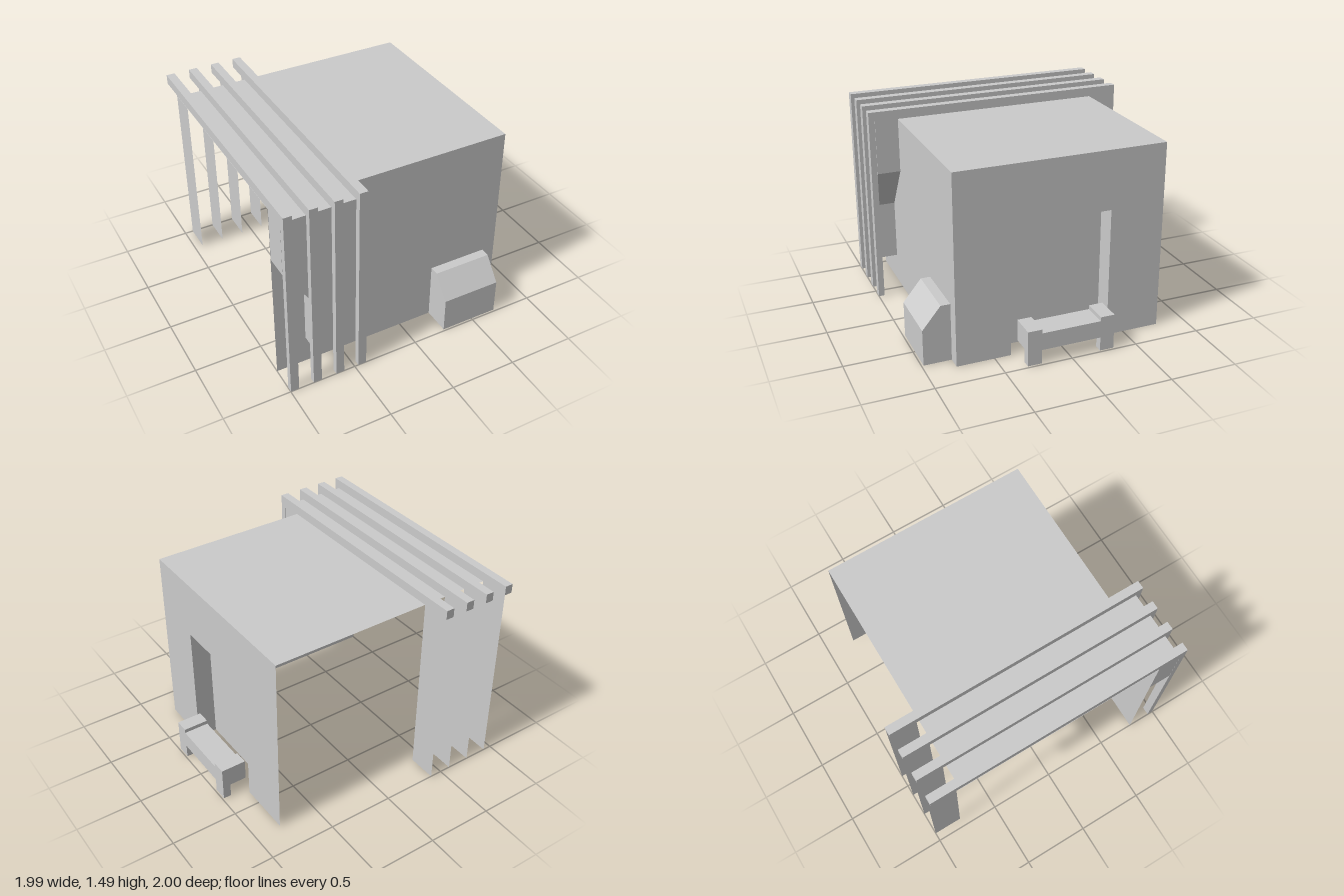
import * as THREE from 'three';

const material = new THREE.MeshStandardMaterial({ color: 0xcccccc, flatShading: true });
const sheetMaterial = new THREE.MeshStandardMaterial({ color: 0xcccccc, flatShading: true, side: THREE.DoubleSide });

function outline(points) {
  return new THREE.Shape(points.map(([a, b]) => new THREE.Vector2(a, b)));
}

// Solid block from its minimum and maximum corners
function block(name, [x0, y0, z0], [x1, y1, z1]) {
  const mesh = new THREE.Mesh(new THREE.BoxGeometry(x1 - x0, y1 - y0, z1 - z0), material);
  mesh.position.set((x0 + x1) / 2, (y0 + y1) / 2, (z0 + z1) / 2);
  mesh.name = name;
  return mesh;
}

// Flat sheet in the x-y plane
function frontSheet(name, points, z) {
  const mesh = new THREE.Mesh(new THREE.ShapeGeometry(outline(points)), sheetMaterial);
  mesh.position.z = z;
  mesh.name = name;
  return mesh;
}

// Flat sheet in the z-y plane, points given as [z, y]
function sideSheet(name, points, x) {
  const geometry = new THREE.ShapeGeometry(outline(points.map(([z, y]) => [-z, y])));
  const mesh = new THREE.Mesh(geometry.rotateY(Math.PI / 2), sheetMaterial);
  mesh.position.x = x;
  mesh.name = name;
  return mesh;
}

function rect(a0, b0, a1, b1) {
  return [[a0, b0], [a1, b0], [a1, b1], [a0, b1]];
}

// Solid prism along z from an x-y profile
function prism(name, points, z0, z1) {
  const geometry = new THREE.ExtrudeGeometry(outline(points), { depth: z1 - z0, bevelEnabled: false });
  const mesh = new THREE.Mesh(geometry, material);
  mesh.position.z = z0;
  mesh.name = name;
  return mesh;
}

// Open band along x through a [z, y] polyline
function band(name, points, x0, x1) {
  const positions = [], index = [];
  points.forEach(([z, y], i) => {
    positions.push(x0, y, z, x1, y, z);
    if (i > 0) {
      const k = 2 * i;
      index.push(k - 2, k - 1, k + 1, k - 2, k + 1, k);
    }
  });
  let geometry = new THREE.BufferGeometry();
  geometry.setAttribute('position', new THREE.Float32BufferAttribute(positions, 3));
  geometry.setIndex(index);
  geometry = geometry.toNonIndexed();
  geometry.computeVertexNormals();
  const mesh = new THREE.Mesh(geometry, sheetMaterial);
  mesh.name = name;
  return mesh;
}

export function createModel() {
  const model = new THREE.Group();
  model.name = 'building';
  const xMin = -1, xMax = 0.8, roofY = 1.42, wallZ = 0.78;

  // Shell: roof, front wall and side wall with a doorway
  model.add(
    band('roof', [[wallZ, roofY], [-wallZ, roofY]], xMin, xMax),
    frontSheet('frontWall', rect(xMin, 0, xMax, roofY), wallZ),
    sideSheet('sideWall', [
      [-wallZ, 0], [-0.37, 0], [-0.37, 0.98], [0.38, 0.98],
      [0.38, 0], [wallZ, 0], [wallZ, roofY], [-wallZ, roofY],
    ], xMax),
  );

  // Door recess, open at the top
  const recess = new THREE.Group();
  recess.name = 'doorRecess';
  recess.add(sideSheet('door', rect(-0.37, 0, 0.38, 0.98), 0.65));
  for (const z of [-0.37, 0.38]) recess.add(frontSheet('doorJamb', rect(0.65, 0, xMax, 0.98), z));
  model.add(recess);

  // Four ribs: beam over the roof, post in front, fin behind
  for (const right of [-0.936, -0.76, -0.584, -0.408]) {
    const left = right - 0.062;
    const rib = new THREE.Group();
    rib.name = 'rib';
    rib.add(
      block('beam', [left, roofY, -1], [right, 1.49, 1]),
      block('frontPost', [left, 0, 0.955], [right, roofY, 1]),
      sideSheet('rearFin', rect(-1, 0, -wallZ, roofY), right),
    );
    model.add(rib);
  }

  // Hopper tapering into a chute behind the posts
  model.add(prism('hopper', [
    [-0.998, roofY], [-0.998, 1.01], [-0.772, 0.67], [-0.772, 0.22],
    [-0.632, 0.22], [-0.632, 0.67], [-0.41, 1.01], [-0.41, roofY],
  ], wallZ, 0.953));

  // Sloped bin on the front wall, open below
  const bin = new THREE.Group();
  bin.name = 'bin';
  const binProfile = [[0.985, 0], [0.985, 0.27], [0.85, 0.435], [wallZ, 0.435]];
  bin.add(band('binCover', binProfile, 0.255, 0.7));
  for (const x of [0.255, 0.7]) bin.add(sideSheet('binSide', [...binProfile, [wallZ, 0]], x));
  model.add(bin);

  // Bench outside the doorway with raised arms and front legs
  const bench = new THREE.Group();
  bench.name = 'bench';
  bench.add(block('seat', [xMax, 0.11, -0.22], [0.99, 0.24, 0.225]));
  const arm = [[xMax, 0.11], [0.93, 0.11], [0.93, 0.005], [0.99, 0.005], [0.99, 0.27], [xMax, 0.27]];
  bench.add(prism('arm', arm, -0.325, -0.22), prism('arm', arm, 0.225, 0.33));
  model.add(bench);

  return model;
}
